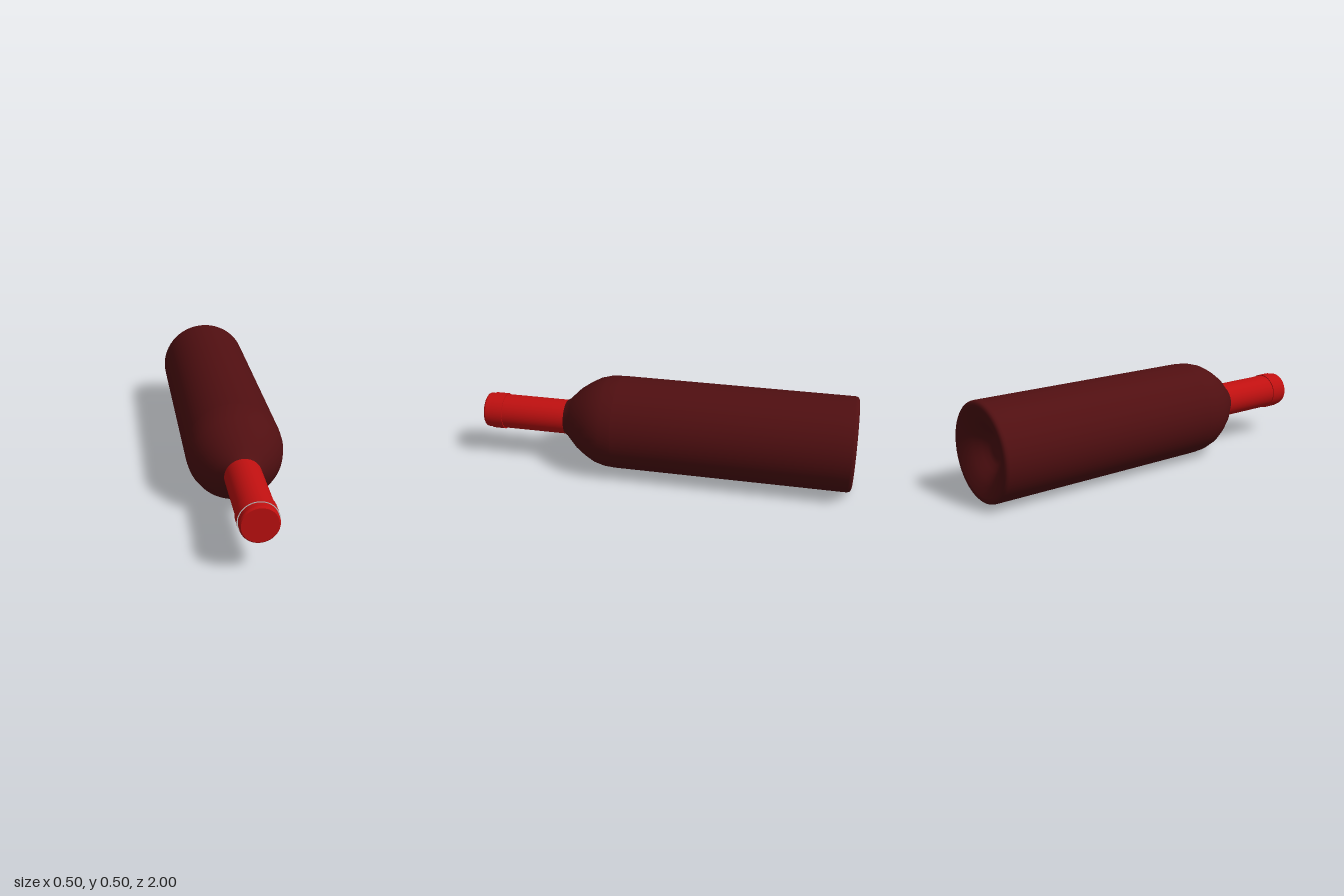
import * as THREE from 'three';

const glass = new THREE.MeshStandardMaterial({ color: 0x500f11 });
const foil = new THREE.MeshStandardMaterial({ color: 0xc01010 });
const grey = new THREE.MeshStandardMaterial({ color: 0xcccccc });

export function createModel() {
  const bottle = new THREE.Group();
  bottle.name = 'bottle';
  bottle.position.y = 0.25;

  // Turns a profile of [radius, z] points, given from back to front, about the z axis
  function turned(name, material, profile) {
    const points = profile.map(([r, z]) => new THREE.Vector2(r, z));
    const geometry = new THREE.LatheGeometry(points, 64).rotateX(Math.PI / 2);
    const mesh = new THREE.Mesh(geometry, material);
    mesh.name = name;
    bottle.add(mesh);
  }

  // Hollow in the base, running out to the resting rim
  turned('basePunt', glass, [
    [0, -0.9], [0.05, -0.902], [0.075, -0.912], [0.1, -0.932],
    [0.135, -0.96], [0.17, -0.98], [0.205, -0.993], [0.22, -0.998],
  ]);

  // Rounded rim and straight body
  turned('body', glass, [
    [0.22, -0.998], [0.23, -1], [0.24, -0.997], [0.247, -0.99], [0.25, -0.978],
    [0.25, -0.9], [0.25, 0.2], [0.25, 0.25],
  ]);

  // Faceted curve of the shoulder down to the neck
  turned('shoulder', glass, [
    [0.25, 0.25], [0.246, 0.31], [0.231, 0.365], [0.204, 0.415],
    [0.167, 0.468], [0.127, 0.508], [0.104, 0.53], [0.092, 0.55],
  ]);

  // Foil sleeve with a softly rounded end
  turned('neckFoil', foil, [[0.093, 0.54], [0.093, 0.6], [0.093, 0.98], [0.093, 0.99]]);
  turned('foilEdge', foil, [[0.093, 0.99], [0.091, 0.996], [0.086, 1]]);
  turned('foilTop', foil, [[0.086, 1], [0, 1]]);

  // Raised band near the mouth, with its bare front edge
  turned('bandBack', foil, [[0.092, 0.895], [0.098, 0.895]]);
  turned('band', foil, [[0.098, 0.895], [0.098, 0.96]]);
  turned('bandFrontEdge', grey, [[0.098, 0.96], [0.092, 0.96]]);

  const model = new THREE.Group();
  model.name = 'lyingBottle';
  model.add(bottle);
  return model;
}
